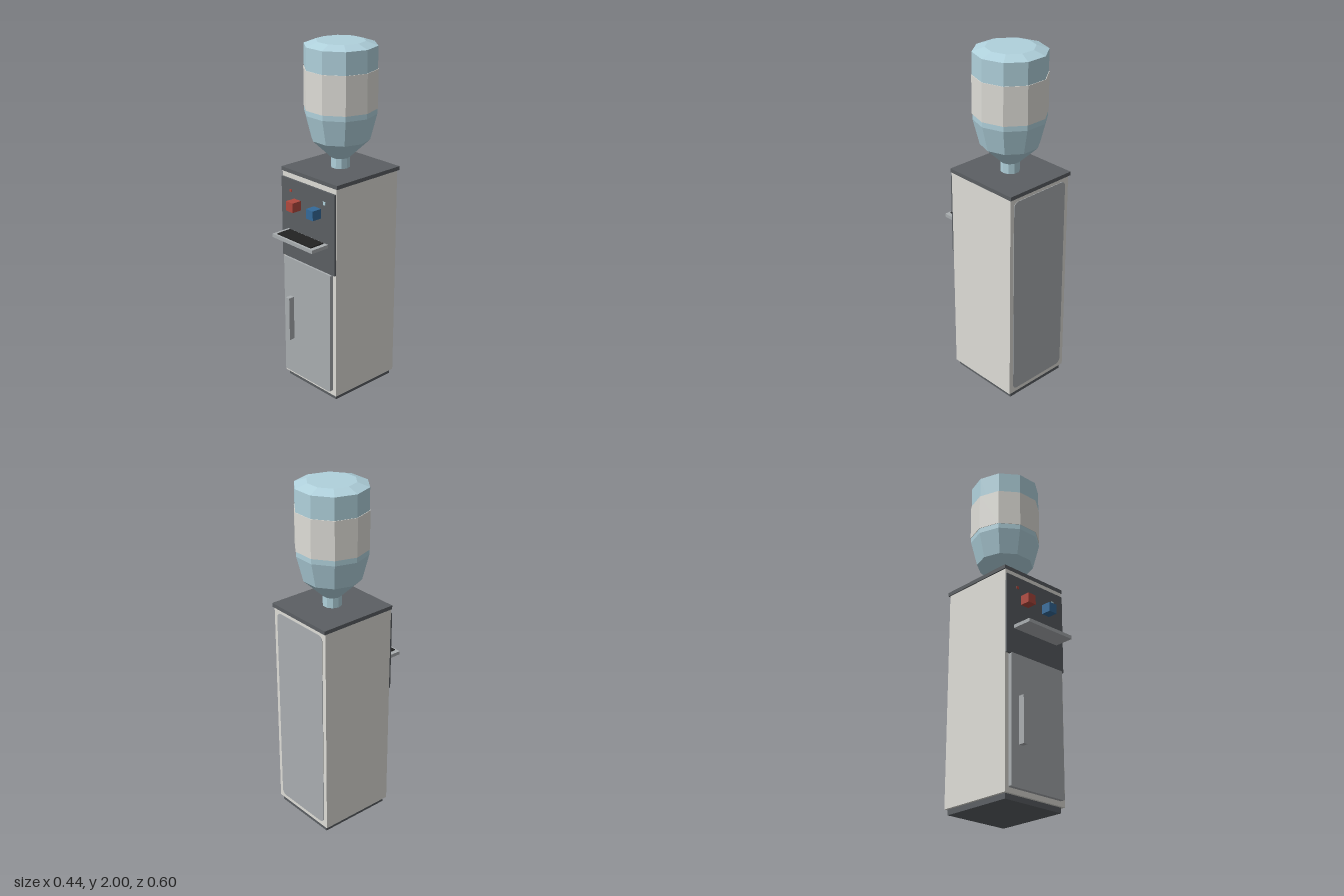
import * as THREE from 'three';

const flat = (name, color, flatShading = true) => {
  const m = new THREE.MeshStandardMaterial({ color, flatShading });
  m.name = name;
  return m;
};

export function createModel() {
  const mats = {
    body: flat('off white', 0xdeddd7),
    grey: flat('mid grey', 0xa9adb0),
    dark: flat('dark grey', 0x5b5f63),
    black: flat('black', 0x222222),
    red: flat('red', 0xb0493e),
    blue: flat('blue', 0x346a99),
    bottle: flat('pale blue', 0xb0d1dc),
  };
  const model = new THREE.Group();
  model.name = 'waterCooler';

  const add = (name, geometry, mat) => {
    const mesh = new THREE.Mesh(geometry, mat);
    mesh.name = name;
    model.add(mesh);
    return mesh;
  };

  // Box given by its extents on each axis
  const box = (name, mat, [x0, x1], [y0, y1], [z0, z1]) => {
    const mesh = add(name, new THREE.BoxGeometry(x1 - x0, y1 - y0, z1 - z0), mat);
    mesh.position.set((x0 + x1) / 2, (y0 + y1) / 2, (z0 + z1) / 2);
    return mesh;
  };

  // Upright plate with rounded corners
  const plate = (name, mat, hw, y0, y1, r, z, depth) => {
    const s = new THREE.Shape();
    s.absarc(hw - r, y0 + r, r, -Math.PI / 2, 0);
    s.absarc(hw - r, y1 - r, r, 0, Math.PI / 2);
    s.absarc(-hw + r, y1 - r, r, Math.PI / 2, Math.PI);
    s.absarc(-hw + r, y0 + r, r, Math.PI, Math.PI * 1.5);
    const g = new THREE.ExtrudeGeometry(s, { depth, bevelEnabled: false, curveSegments: 4 });
    add(name, g, mat).position.z = z;
  };

  // Cabinet
  box('base', mats.dark, [-0.2, 0.2], [0, 0.03], [-0.28, 0.155]);
  box('cabinet', mats.body, [-0.215, 0.215], [0.03, 1.28], [-0.29, 0.17]);
  box('topSlab', mats.dark, [-0.222, 0.222], [1.28, 1.302], [-0.3, 0.172]);
  plate('backPanel', mats.grey, 0.19, 0.055, 1.255, 0.03, -0.293, 0.004);

  // Door and handle
  plate('door', mats.grey, 0.19, 0.058, 0.783, 0.008, 0.169, 0.024);
  box('doorHandle', mats.grey, [-0.138, -0.111], [0.285, 0.55], [0.19, 0.228]);

  // Control panel with taps and indicator lights
  box('controlPanel', mats.dark, [-0.213, 0.213], [0.783, 1.25], [0.169, 0.181]);
  box('hotTap', mats.red, [-0.109, -0.055], [1.09, 1.145], [0.18, 0.24]);
  box('coldTap', mats.blue, [0.053, 0.107], [1.09, 1.145], [0.18, 0.24]);
  box('hotLight', mats.red, [-0.143, -0.128], [1.178, 1.193], [0.18, 0.185]);
  box('coldLight', mats.bottle, [0.126, 0.142], [1.174, 1.193], [0.18, 0.185]);

  // Drip tray
  box('dripTray', mats.grey, [-0.162, 0.162], [0.934, 0.954], [0.18, 0.297]);
  box('dripGrille', mats.black, [-0.136, 0.136], [0.953, 0.96], [0.191, 0.283]);

  // Ten-sided bottle and its label band
  const lathe = (name, mat, profile) => {
    const pts = profile.map(([r, y]) => new THREE.Vector2(r, y));
    add(name, new THREE.LatheGeometry(pts, 10, Math.PI / 10), mat).position.z = -0.063;
  };
  lathe('bottle', mats.bottle, [
    [0.053, 1.3], [0.053, 1.36], [0.163, 1.465], [0.2, 1.61],
    [0.2, 1.978], [0.133, 2], [0, 2],
  ]);
  lathe('label', mats.body, [[0.2, 1.64], [0.203, 1.64], [0.203, 1.855], [0.2, 1.855]]);

  return model;
}
